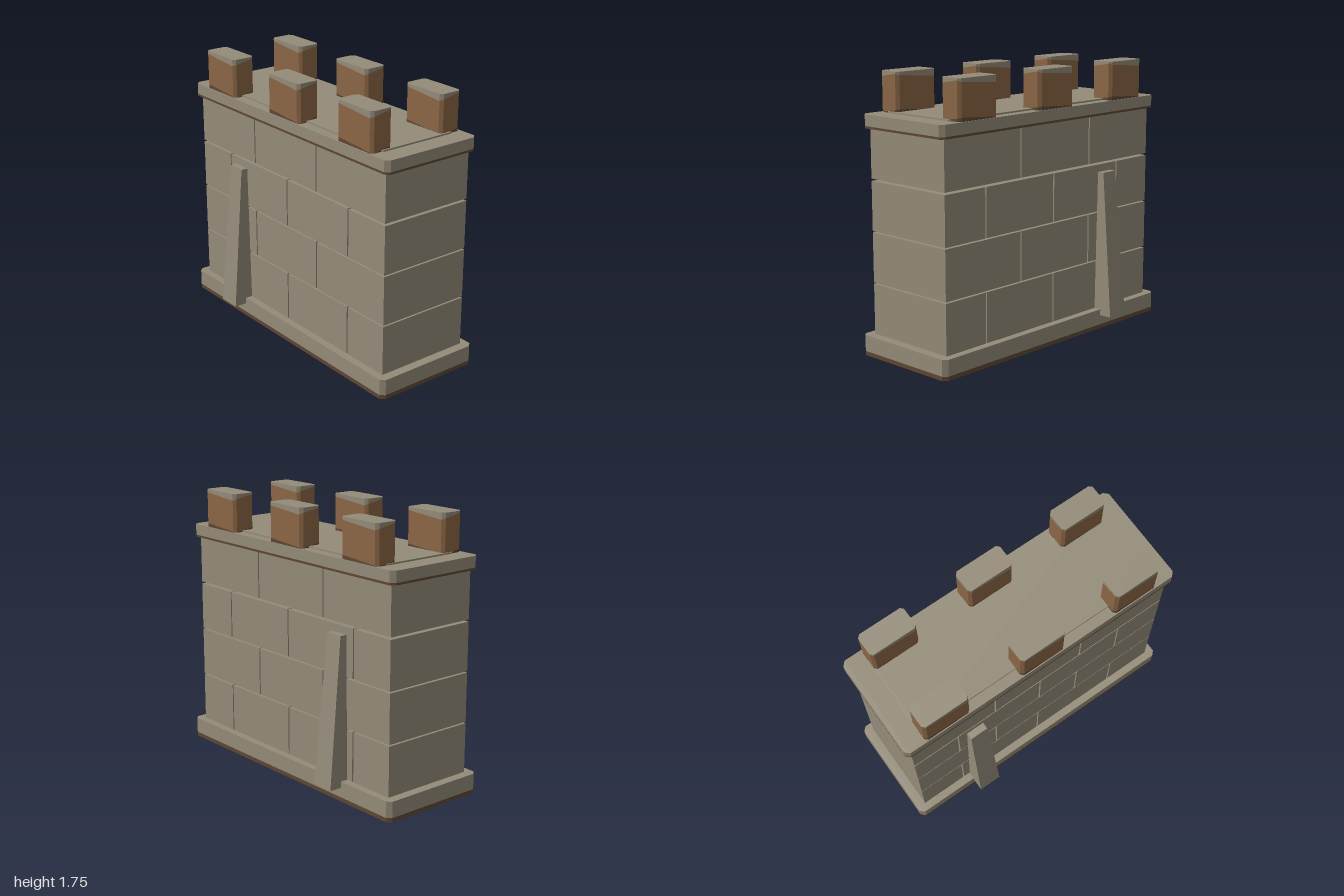
import * as THREE from 'three';

const mat = (name, color) => {
  const m = new THREE.MeshStandardMaterial({ color, side: THREE.DoubleSide, flatShading: true });
  m.name = name;
  return m;
};

// Rectangle in plan with cut corners, counter-clockwise from front left
const plan = (hx, hz, c, cx = 0, cz = 0) => [
  [-hx + c, hz], [hx - c, hz], [hx, hz - c], [hx, -hz + c],
  [hx - c, -hz], [-hx + c, -hz], [-hx, -hz + c], [-hx, hz - c],
].map(([x, z]) => [cx + x, cz + z]);

const at = (y, i) => (Array.isArray(y) ? y[i] : y);

function toMesh(name, positions, material) {
  const g = new THREE.BufferGeometry();
  g.setAttribute('position', new THREE.Float32BufferAttribute(positions, 3));
  g.computeVertexNormals();
  const m = new THREE.Mesh(g, material);
  m.name = name;
  return m;
}

// Wall strip between two outlines; heights are one number or one per corner
function band(name, low, y0, high, y1, material) {
  const p = [], n = low.length;
  for (let i = 0; i < n; i++) {
    const j = (i + 1) % n;
    const a = [low[i][0], at(y0, i), low[i][1]], b = [low[j][0], at(y0, j), low[j][1]];
    const c = [high[j][0], at(y1, j), high[j][1]], d = [high[i][0], at(y1, i), high[i][1]];
    p.push(...a, ...b, ...c, ...a, ...c, ...d);
  }
  return toMesh(name, p, material);
}

// Flat upward face filling an outline
function lid(name, pts, y, material) {
  const p = [];
  for (let i = 1; i < pts.length - 1; i++)
    for (const q of [pts[0], pts[i], pts[i + 1]]) p.push(q[0], y, q[1]);
  return toMesh(name, p, material);
}

export function createModel() {
  const stone = mat('stone', 0x958c79);
  const brown = mat('brown', 0x8c6746);
  const darkBrown = mat('dark brown', 0x604732);
  const model = new THREE.Group();
  model.name = 'battlementWall';

  // Hollow slab, open underneath, with a dark lower edge
  function slab(name, hx, hz, c, y0, edge, y1) {
    const g = new THREE.Group(), o = plan(hx, hz, c);
    g.name = name;
    if (edge) g.add(band(name + 'Edge', o, y0, o, y0 + edge, darkBrown));
    g.add(band(name + 'Side', o, y0 + edge, o, y1, stone), lid(name + 'Top', o, y1, stone));
    model.add(g);
  }
  slab('base', 1, 0.37, 0.027, 0, 0.027, 0.13);
  slab('cap', 0.98, 0.348, 0.027, 1.42, 0.014, 1.505);
  slab('walkway', 0.848, 0.28, 0.02, 1.5, 0, 1.515);

  // Courses of full-depth blocks with open joints
  const courses = [[0.13, 0.45], [0.459, 0.775], [0.784, 1.095], [1.109, 1.42]];
  const joints = [[-0.94, -0.62, 0, 0.605, 0.94], [-0.94, -0.34, 0.3, 0.94]];
  courses.forEach(([y0, y1], row) => {
    const xs = joints[row % 2];
    for (let i = 0; i < xs.length - 1; i++) {
      const x0 = xs[i] + (i ? 0.005 : 0);
      const x1 = xs[i + 1] - (i < xs.length - 2 ? 0.005 : 0);
      const block = new THREE.Mesh(new THREE.BoxGeometry(x1 - x0, y1 - y0, 0.64), stone);
      block.position.set((x0 + x1) / 2, (y0 + y1) / 2, 0);
      block.name = 'block';
      model.add(block);
    }
  });

  // Tapered buttresses front and back, open underneath
  const rect = (hx, hz, cx, cz) =>
    [[-hx, hz], [hx, hz], [hx, -hz], [-hx, -hz]].map(([x, z]) => [cx + x, cz + z]);
  for (const s of [1, -1]) {
    const low = rect(0.077, 0.135, -0.493, 0.32 * s);
    const high = rect(0.06, 0.045, -0.495, 0.32 * s);
    const g = new THREE.Group();
    g.name = 'buttress';
    g.add(band('buttressSide', low, 0.09, high, 1.045, stone), lid('buttressTop', high, 1.045, stone));
    model.add(g);
  }

  // Merlons: brown sides, slanting stone upper edge and dark foot
  const foot = [1.53, 1.51, 1.507, 1.525, 1.53, 1.51, 1.507, 1.525];
  const upper = [1.735, 1.712, 1.722, 1.743, 1.735, 1.712, 1.722, 1.743];
  for (const x of [-0.682, -0.002, 0.678]) {
    for (const s of [1, -1]) {
      const o = plan(0.158, 0.077, 0.018, x, 0.264 * s);
      const g = new THREE.Group();
      g.name = 'merlon';
      g.add(
        band('merlonFoot', o, 1.5, o, foot, darkBrown),
        band('merlonSide', o, foot, o, upper, brown),
        band('merlonRim', o, upper, o, 1.755, stone),
        lid('merlonTop', o, 1.755, stone),
      );
      model.add(g);
    }
  }
  return model;
}
